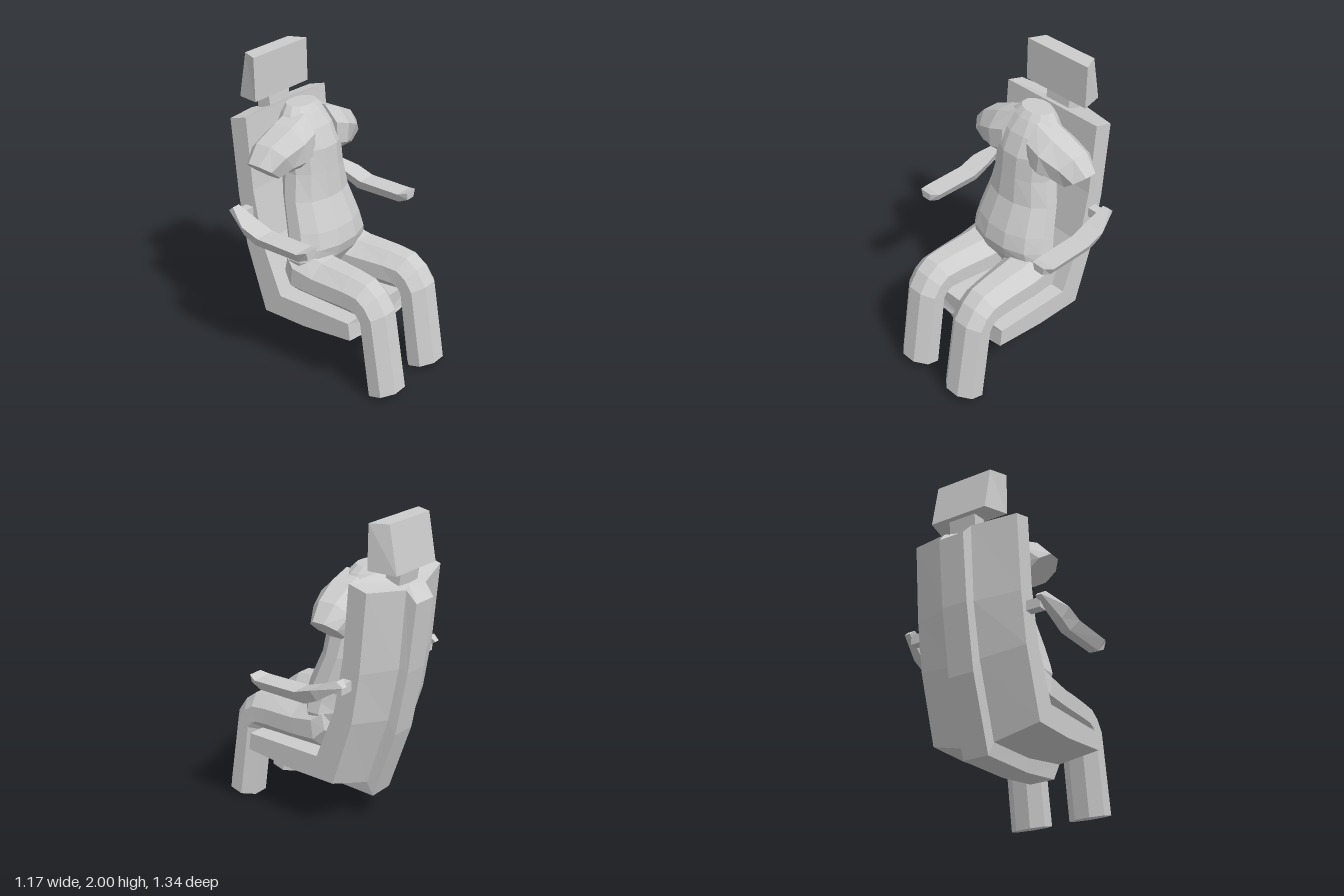
import * as THREE from 'three';

const grey = new THREE.MeshStandardMaterial({ color: 0xcccccc, flatShading: true });
grey.name = 'plainGrey';

// Skin a closed, capped solid over a list of rings (equal counts of [x, y, z])
function loft(name, rings) {
  const n = rings[0].length, pos = rings.flat(2), idx = [];
  for (let r = 0; r < rings.length - 1; r++)
    for (let i = 0; i < n; i++) {
      const a = r * n + i, b = r * n + (i + 1) % n;
      idx.push(a, b, b + n, a, b + n, a + n);
    }
  for (const r of [0, rings.length - 1]) {
    const c = pos.length / 3;
    for (let k = 0; k < 3; k++) pos.push(rings[r].reduce((s, p) => s + p[k], 0) / n);
    for (let i = 0; i < n; i++) {
      const a = r * n + i, b = r * n + (i + 1) % n;
      idx.push(...(r === 0 ? [c, b, a] : [c, a, b]));
    }
  }
  // Turn every face outward whichever way the rings run
  const at = i => new THREE.Vector3().fromArray(pos, i * 3);
  let volume = 0;
  for (let i = 0; i < idx.length; i += 3) volume += at(idx[i]).dot(at(idx[i + 1]).cross(at(idx[i + 2])));
  if (volume < 0) idx.reverse();
  const indexed = new THREE.BufferGeometry();
  indexed.setAttribute('position', new THREE.Float32BufferAttribute(pos, 3));
  indexed.setIndex(idx);
  const geo = indexed.toNonIndexed();
  geo.computeVertexNormals();
  const mesh = new THREE.Mesh(geo, grey);
  mesh.name = name;
  return mesh;
}

// Faceted oval between opposite points a and b, with half-extent vector v sideways
function oval(a, b, v, n = 8) {
  const k = 1 / Math.cos(Math.PI / n);
  return Array.from({ length: n }, (_, i) => {
    const t = (i + 0.5) * 2 * Math.PI / n, c = Math.cos(t) * k, s = Math.sin(t) * k;
    return a.map((p, j) => (p + b[j]) / 2 + (p - b[j]) / 2 * c + v[j] * s);
  });
}

// Four-cornered ring: top pair and bottom pair of [z, y], with x half-widths
const slab = (front, back, wf, wb) => [
  [-wf, front[1], front[0]], [wf, front[1], front[0]],
  [wb, back[1], back[0]], [-wb, back[1], back[0]]];

export function createModel() {
  const model = new THREE.Group();
  model.name = 'seatedFigure';

  // Chair shell: [z, y] of the padded face, side edge, spine root and spine ridge
  const stations = [
    [[-0.395, 1.67], [-0.52, 1.635], [-0.60, 1.60], [-0.665, 1.525]],
    [[-0.355, 1.20], [-0.475, 1.13], [-0.56, 1.10], [-0.615, 1.08]],
    [[-0.29, 0.85], [-0.42, 0.80], [-0.49, 0.75], [-0.535, 0.655]],
    [[-0.155, 0.515], [-0.28, 0.365], [-0.335, 0.28], [-0.375, 0.19]],
    [[0.04, 0.515], [0.04, 0.365], [0.04, 0.295], [0.04, 0.205]],
    [[0.385, 0.515], [0.40, 0.40], [0.395, 0.36], [0.35, 0.25]],
  ];
  const widths = [0.38, 0.38, 0.1, 0.088];
  model.add(loft('chairShell', stations.map(st => [
    ...st.map(([z, y], i) => [widths[i], y, z]),
    ...st.map(([z, y], i) => [-widths[i], y, z]).reverse(),
  ])));

  // Headrest and its post
  model.add(loft('headrest', [
    slab([-0.435, 2.0], [-0.545, 2.0], 0.25, 0.2),
    slab([-0.43, 1.72], [-0.60, 1.705], 0.25, 0.2)]));
  model.add(loft('headrestPost', [
    slab([-0.46, 1.73], [-0.56, 1.73], 0.095, 0.095),
    slab([-0.44, 1.57], [-0.54, 1.57], 0.095, 0.095)]));

  // Torso: [y, half width, front z, back z]
  const torso = [
    [1.69, 0.11, -0.20, -0.355], [1.65, 0.15, -0.16, -0.37], [1.57, 0.21, -0.10, -0.385],
    [1.45, 0.215, -0.045, -0.385], [1.30, 0.215, -0.03, -0.35], [1.13, 0.25, -0.01, -0.325],
    [0.945, 0.285, 0.07, -0.285], [0.84, 0.305, 0.095, -0.26], [0.765, 0.325, 0.075, -0.24],
    [0.64, 0.29, 0.0, -0.19], [0.52, 0.2, -0.03, -0.12],
  ];
  model.add(loft('torso', torso.map(([y, w, f, b]) => oval([0, y, f], [0, y, b], [w, 0, 0], 12))));

  // Legs: [upper z, upper y, lower z, lower y, centre x, half width]
  const leg = [
    [0.67, 0.06, 0.46, 0.005, 0.215, 0.125], [0.58, 0.59, 0.39, 0.50, 0.215, 0.125],
    [0.51, 0.69, 0.375, 0.515, 0.215, 0.125], [0.43, 0.75, 0.355, 0.515, 0.213, 0.126],
    [0.31, 0.766, 0.29, 0.515, 0.207, 0.132], [0.08, 0.775, 0.05, 0.515, 0.192, 0.152],
    [-0.07, 0.81, -0.11, 0.515, 0.18, 0.165], [-0.13, 0.84, -0.18, 0.60, 0.165, 0.15],
  ];
  // Upper arm stubs: [top x, top y, bottom x, bottom y, front z, back z]
  const arm = [
    [0.10, 1.66, 0.12, 1.32, -0.08, -0.38], [0.23, 1.61, 0.19, 1.315, -0.07, -0.385],
    [0.39, 1.53, 0.235, 1.315, -0.11, -0.385], [0.48, 1.43, 0.305, 1.29, -0.155, -0.35],
  ];
  // Armrests: [top z, top y, bottom z, bottom y, inner x, outer x, bottom inset]
  const rest = [
    [0.212, 1.022, 0.212, 0.97, 0.465, 0.56, 0.015], [0.155, 1.005, 0.14, 0.935, 0.444, 0.585, 0.04],
    [-0.15, 1.01, -0.20, 0.935, 0.444, 0.585, 0.04], [-0.27, 1.05, -0.29, 0.975, 0.444, 0.585, 0.04],
    [-0.41, 1.115, -0.45, 1.08, 0.455, 0.51, 0.008],
  ];

  for (const [s, side] of [[1, 'left'], [-1, 'right']]) {
    model.add(loft(side + 'Leg', leg.map(([z1, y1, z2, y2, x, w]) =>
      oval([s * x, y1, z1], [s * x, y2, z2], [w, 0, 0]))));
    model.add(loft(side + 'UpperArm', arm.map(([x1, y1, x2, y2, f, b]) =>
      oval([s * x1, y1, (f + b) / 2], [s * x2, y2, (f + b) / 2], [0, 0, (f - b) / 2]))));
    model.add(loft(side + 'Armrest', rest.map(([z1, y1, z2, y2, a, b, d]) => [
      [s * a, y1, z1], [s * b, y1, z1], [s * (b - d), y2, z2], [s * (a + d), y2, z2]])));
    const bracket = new THREE.Mesh(new THREE.BoxGeometry(0.11, 0.065, 0.06), grey);
    bracket.position.set(s * 0.42, 1.05, -0.39);
    bracket.name = side + 'ArmrestBracket';
    model.add(bracket);
  }
  return model;
}
